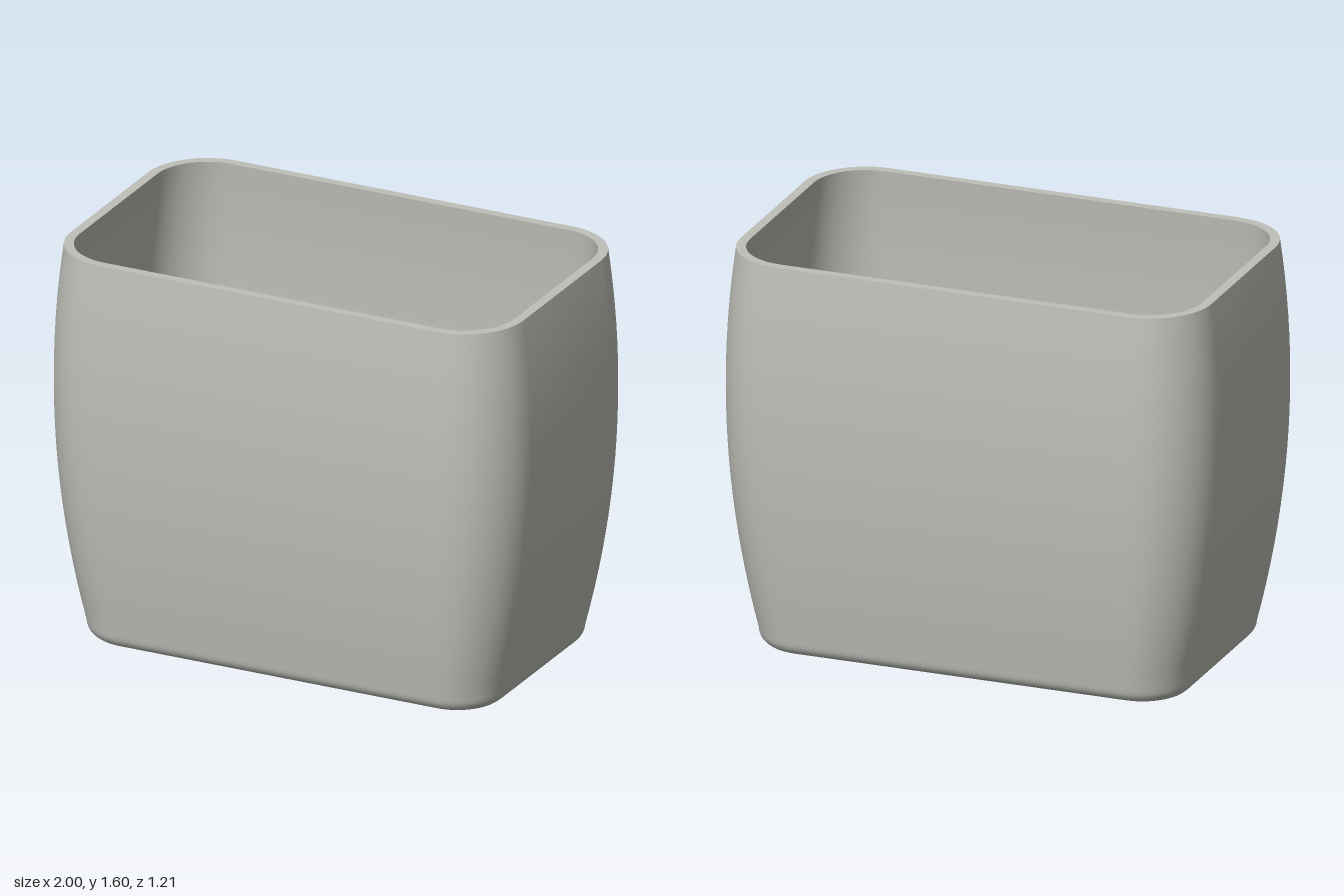
import * as THREE from 'three';
import { mergeGeometries, toCreasedNormals } from 'three/addons/utils/BufferGeometryUtils.js';

const HEIGHT = 1.6, FLOOR = 0.04, WALL = 0.038, OUTER_FILLET = 0.06, INNER_FILLET = 0.035;

// Grilles set into the floor: centre, radius, hub hole, slot count and slot reach
const small = { r: 0.193, hub: 0.05, slots: 8, reach: 0.174 };
const grilles = [
  { name: 'smallGrilleBack', x: -0.58, z: -0.223, ...small },
  { name: 'smallGrilleFront', x: -0.58, z: 0.223, ...small },
  { name: 'smallGrilleMiddle', x: -0.13, z: 0, ...small },
  { name: 'largeGrille', x: 0.46, z: 0, r: 0.29, hub: 0.08, slots: 12, reach: 0.266 },
];

// Rounded rectangle of the bulging body at height y, moved inwards by inset
function ring(y, inset, bulgeY = y) {
  const d = (bulgeY - 1.05) ** 2;
  const hx = 1 - 0.125 * d - inset, hz = 0.604 - 0.088 * d - inset;
  const r = 0.27 - 0.07 * d - inset;
  const points = [], steps = 12;
  for (let c = 0; c < 4; c++) {
    const sx = c === 0 || c === 3 ? 1 : -1, sz = c < 2 ? 1 : -1;
    for (let i = 0; i <= steps; i++) {
      const a = (c + i / steps) * Math.PI / 2;
      points.push(new THREE.Vector3(sx * (hx - r) + r * Math.cos(a), y, sz * (hz - r) + r * Math.sin(a)));
    }
  }
  return points;
}

// Skin a stack of closed rings
function loft(rings) {
  const n = rings[0].length, index = [];
  for (let i = 0; i < rings.length - 1; i++) {
    for (let j = 0; j < n; j++) {
      const a = i * n + j, b = i * n + (j + 1) % n;
      index.push(a, a + n, b, b, a + n, b + n);
    }
  }
  const g = new THREE.BufferGeometry().setFromPoints(rings.flat());
  g.setIndex(index);
  return g.toNonIndexed();
}

// Flat floor panel bounded by a ring, with round openings for the grilles
function floorPanel(edge, up) {
  const shape = new THREE.Shape(edge.map(p => new THREE.Vector2(p.x, up ? -p.z : p.z)));
  for (const g of grilles) {
    shape.holes.push(new THREE.Path().absarc(g.x, up ? -g.z : g.z, g.r, 0, Math.PI * 2));
  }
  const geo = new THREE.ShapeGeometry(shape, 32).rotateX(up ? -Math.PI / 2 : Math.PI / 2);
  geo.translate(0, edge[0].y, 0);
  geo.deleteAttribute('uv');
  geo.deleteAttribute('normal');
  return geo.toNonIndexed();
}

function bodyGeometry() {
  const rings = [], arc = 6, rows = 20;
  // outer bottom fillet
  for (let i = arc; i > 0; i--) {
    const a = i / arc * Math.PI / 2;
    rings.push(ring(OUTER_FILLET * (1 - Math.sin(a)), OUTER_FILLET * (1 - Math.cos(a)), OUTER_FILLET));
  }
  // outer wall, then over the rim and down the inner wall
  for (let i = 0; i <= rows; i++) rings.push(ring(OUTER_FILLET + (HEIGHT - OUTER_FILLET) * i / rows, 0));
  const low = FLOOR + INNER_FILLET;
  for (let i = rows; i >= 0; i--) rings.push(ring(low + (HEIGHT - low) * i / rows, WALL));
  // inner floor fillet
  for (let i = 1; i <= arc; i++) {
    const a = i / arc * Math.PI / 2;
    rings.push(ring(low - INNER_FILLET * Math.sin(a), WALL + INNER_FILLET * (1 - Math.cos(a)), low));
  }
  const parts = [loft(rings), floorPanel(rings[0], false), floorPanel(rings[rings.length - 1], true)];
  return toCreasedNormals(mergeGeometries(parts), 0.6);
}

// Disc cut by a hub hole with radiating slots that end in small round holes
function grilleGeometry({ r, hub, slots, reach }) {
  const half = 0.007, bulb = 0.011, cut = [];
  const put = (radius, angle) => cut.push(new THREE.Vector2(radius * Math.cos(angle), radius * Math.sin(angle)));
  const step = Math.PI * 2 / slots, mouth = Math.asin(half / hub), neck = Math.asin(half / bulb);
  for (let s = 0; s < slots; s++) {
    const a = (s + 0.5) * step;
    put(hub, a - mouth);
    for (let i = 0; i <= 10; i++) {
      const b = -Math.PI + neck + (Math.PI - neck) * 2 * i / 10;
      const u = reach + bulb * Math.cos(b) - bulb, v = bulb * Math.sin(b);
      put(Math.hypot(u, v), a + Math.atan2(v, u));
    }
    for (let i = 0; i < 5; i++) put(hub, a + mouth + (step - 2 * mouth) * i / 5);
  }
  const shape = new THREE.Shape().absarc(0, 0, r, 0, Math.PI * 2);
  shape.holes.push(new THREE.Path(cut));
  return new THREE.ExtrudeGeometry(shape, { depth: FLOOR, bevelEnabled: false, curveSegments: 32 })
    .rotateX(-Math.PI / 2);
}

export function createModel() {
  const material = (name, color) => {
    const m = new THREE.MeshStandardMaterial({ color });
    m.name = name;
    return m;
  };
  const grey = material('warm grey', 0xc0c0ba);
  const teal = material('teal', 0x2f9e91);
  const rust = material('rust orange', 0xc06045);

  const group = new THREE.Group();
  group.name = 'holder';

  const body = new THREE.Mesh(bodyGeometry(), grey);
  body.name = 'body';
  group.add(body);

  for (const g of grilles) {
    const mesh = new THREE.Mesh(grilleGeometry(g), g.name === 'largeGrille' ? rust : teal);
    mesh.name = g.name;
    mesh.position.set(g.x, 0, g.z);
    group.add(mesh);
  }
  return group;
}
